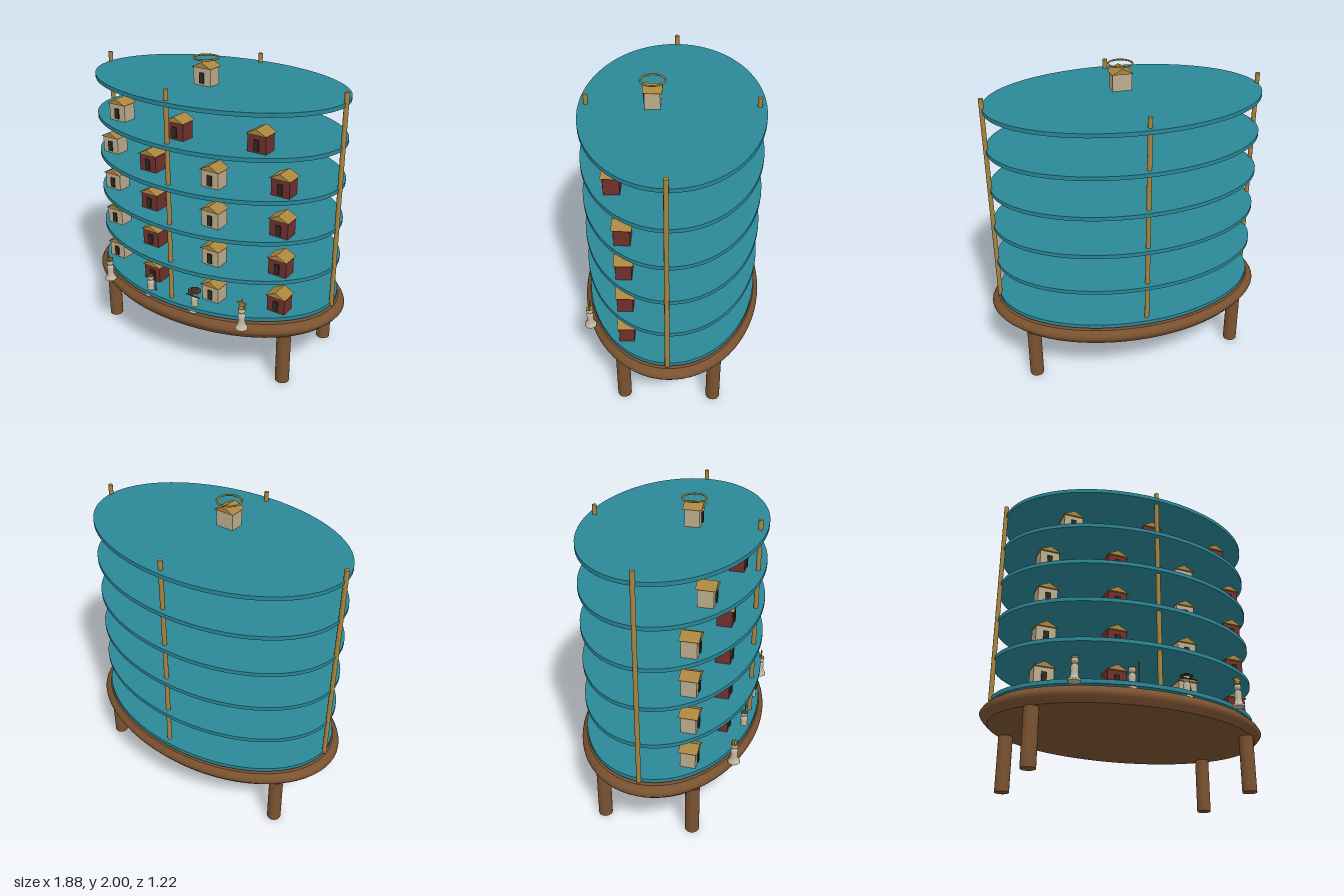
import * as THREE from 'three';

const mat = (name, color, side = THREE.FrontSide) => {
  const m = new THREE.MeshStandardMaterial({ color, side });
  m.name = name;
  return m;
};

export function createModel() {
  const teal = mat('teal', 0x2b8797);
  const wood = mat('brown wood', 0x7a5230);
  const gold = mat('gold wood', 0xa9853f);
  const cream = mat('cream wall', 0xbcad8e);
  const red = mat('red wall', 0x71302c);
  const dark = mat('dark door', 0x2c2a22);
  const ivory = mat('ivory figure', 0xc2b8a0);
  const hatBrown = mat('dark brown hat', 0x4a3a24);

  const model = new THREE.Group();
  model.name = 'tieredVillage';

  const add = (parent, name, geo, material, x = 0, y = 0, z = 0) => {
    const m = new THREE.Mesh(geo, material);
    m.name = name;
    m.position.set(x, y, z);
    parent.add(m);
    return m;
  };

  // Oval table top with a bevelled rim; doubled points keep the flat faces crisp
  const p = (x, y) => new THREE.Vector2(x, y);
  const tableGeo = new THREE.LatheGeometry([
    p(0, 0.357), p(0.945, 0.357), p(0.945, 0.357), p(0.985, 0.393),
    p(1, 0.413), p(0.985, 0.435), p(0.95, 0.46), p(0.95, 0.46), p(0, 0.46),
  ], 72);
  tableGeo.scale(0.942, 1, 0.612);
  add(model, 'tableTop', tableGeo, wood);

  // Four legs
  const legGeo = new THREE.CylinderGeometry(0.046, 0.046, 0.36, 24);
  for (const sx of [-1, 1]) for (const sz of [-1, 1])
    add(model, 'leg', legGeo, wood, sx * 0.71, 0.18, sz * 0.298);

  // Six oval tiers
  const tierGeo = new THREE.CylinderGeometry(1, 1, 0.026, 72);
  tierGeo.scale(0.886, 1, 0.577);
  const tierY = (i) => 0.489 + i * 0.2655;
  for (let i = 0; i < 6; i++) add(model, 'tier', tierGeo, teal, 0, tierY(i));

  // Four upright posts
  const postGeo = new THREE.CylinderGeometry(0.015, 0.015, 1.417, 10);
  for (const [x, z] of [[-0.886, 0], [0.886, 0], [0, 0.532], [0, -0.532]])
    add(model, 'post', postGeo, gold, x, 1.1845, z);

  // Small gabled houses
  const wallGeo = new THREE.BoxGeometry(0.124, 0.11, 0.096);
  const doorGeo = new THREE.BoxGeometry(0.032, 0.066, 0.009);
  const gable = new THREE.Shape([p(-0.07, 0), p(0.07, 0), p(0, 0.036)]);
  const roofGeo = new THREE.ExtrudeGeometry(gable, { depth: 0.12, bevelEnabled: false });
  roofGeo.translate(0, 0, -0.06);
  const house = (x, tier, z, wall) => {
    const g = new THREE.Group();
    g.name = 'house';
    g.position.set(x, tierY(tier) + 0.013, z);
    add(g, 'walls', wallGeo, wall, 0, 0.055, 0);
    add(g, 'roof', roofGeo, gold, 0, 0.11, 0);
    add(g, 'door', doorGeo, dark, 0, 0.047, 0.0525);
    model.add(g);
  };
  for (let i = 0; i < 4; i++) {
    house(-0.65, i, 0.265, cream);
    house(-0.236, i, 0.385, red);
    house(0.236, i, 0.385, cream);
    house(0.65, i, 0.265, red);
  }
  house(-0.52, 4, 0.326, cream);
  house(0, 4, 0.407, red);
  house(0.52, 4, 0.326, red);
  house(0, 5, 0.119, cream);

  // Ring hovering over the top house
  const ringGeo = new THREE.TorusGeometry(0.077, 0.006, 8, 40);
  ringGeo.rotateX(Math.PI / 2);
  add(model, 'ring', ringGeo, gold, 0, 1.994, 0.119);

  // Turned figures along the front edge
  const bodyGeo = new THREE.LatheGeometry([
    p(0, 0), p(0.039, 0), p(0.039, 0), p(0.039, 0.012), p(0.031, 0.018), p(0.024, 0.035),
    p(0.021, 0.06), p(0.024, 0.085), p(0.021, 0.1), p(0.012, 0.108), p(0, 0.108),
  ], 20);
  const headGeo = new THREE.SphereGeometry(0.023, 18, 12);
  const figure = (x) => {
    const g = new THREE.Group();
    g.name = 'figure';
    g.position.set(x, 0.46, 0.524);
    add(g, 'body', bodyGeo, ivory);
    add(g, 'head', headGeo, ivory, 0, 0.128, 0);
    model.add(g);
    return g;
  };

  // Crowned figure
  const crowned = figure(-0.532);
  add(crowned, 'crownBand', new THREE.CylinderGeometry(0.023, 0.021, 0.01, 16), gold, 0, 0.146);
  const spikeGeo = new THREE.ConeGeometry(0.005, 0.02, 6);
  for (let i = 0; i < 6; i++) {
    const a = (i * Math.PI) / 3;
    add(crowned, 'crownSpike', spikeGeo, gold, 0.019 * Math.cos(a), 0.159, 0.019 * Math.sin(a));
  }

  // Figure with cap and staff
  const staffBearer = figure(-0.178);
  const capGeo = new THREE.SphereGeometry(0.025, 16, 6, 0, Math.PI * 2, 0, Math.PI * 0.4);
  add(staffBearer, 'cap', capGeo, hatBrown, 0, 0.129);
  add(staffBearer, 'staff', new THREE.CylinderGeometry(0.004, 0.004, 0.15, 8), wood, 0.043, 0.112, 0);

  // Figure with brimmed hat and crossbar
  const hatted = figure(0.178);
  add(hatted, 'hatBrim', new THREE.CylinderGeometry(0.042, 0.042, 0.005, 20), hatBrown, 0, 0.146);
  add(hatted, 'hatCrown', new THREE.CylinderGeometry(0.017, 0.021, 0.013, 16), hatBrown, 0, 0.155);
  const barGeo = new THREE.CylinderGeometry(0.004, 0.004, 0.1, 8);
  barGeo.rotateZ(Math.PI / 2);
  add(hatted, 'crossbar', barGeo, hatBrown, 0.005, 0.122, 0.025);

  // Figure topped with a star
  const starred = figure(0.532);
  add(starred, 'headband', new THREE.CylinderGeometry(0.024, 0.024, 0.006, 16), gold, 0, 0.147);
  const starPoints = [];
  for (let i = 0; i < 10; i++) {
    const a = Math.PI / 2 + (i * Math.PI) / 5;
    const r = i % 2 ? 0.015 : 0.037;
    starPoints.push(p(r * Math.cos(a), r * Math.sin(a)));
  }
  const starGeo = new THREE.ExtrudeGeometry(new THREE.Shape(starPoints), { depth: 0.008, bevelEnabled: false });
  add(starred, 'star', starGeo, gold, 0, 0.173, -0.004);

  return model;
}
